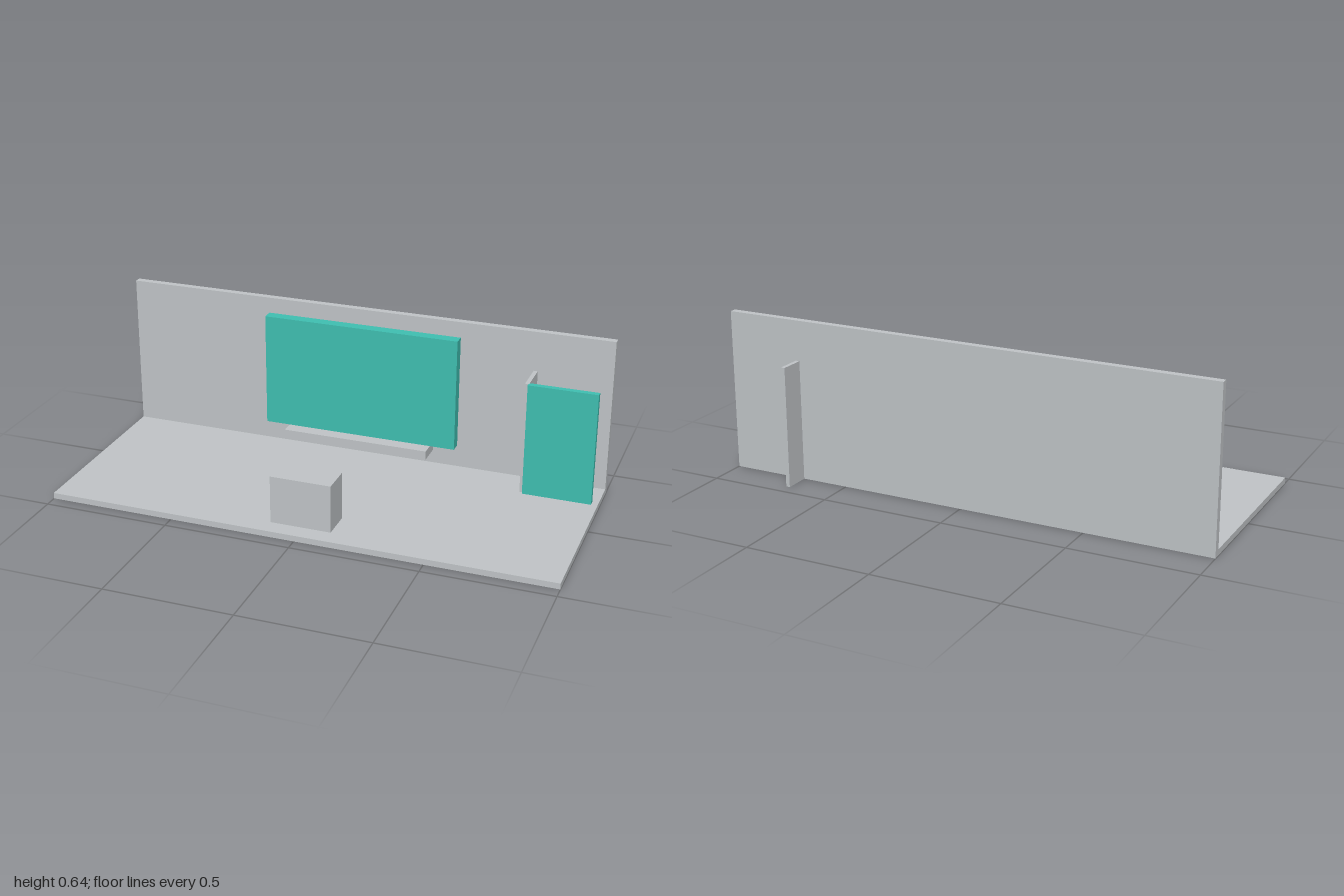
import * as THREE from 'three';

const grey = new THREE.MeshStandardMaterial({ name: 'pale grey', color: 0xc2c6c9 });
const teal = new THREE.MeshStandardMaterial({ name: 'teal', color: 0x40c1b3 });

// Box given by its extents along each axis
function block(name, material, [x0, x1], [y0, y1], [z0, z1]) {
  const mesh = new THREE.Mesh(new THREE.BoxGeometry(x1 - x0, y1 - y0, z1 - z0), material);
  mesh.position.set((x0 + x1) / 2, (y0 + y1) / 2, (z0 + z1) / 2);
  mesh.name = name;
  return mesh;
}

export function createModel() {
  const model = new THREE.Group();
  model.name = 'stage';
  model.add(
    // Floor and back wall; the floor sits a hair high so the panel foot shows beneath it
    block('floor', grey, [-1, 1], [0.0005, 0.024], [-0.35, 0.45]),
    block('backWall', grey, [-1, 1], [0.024, 0.64], [-0.35, -0.322]),
    // Screen with the shelf below it
    block('screen', teal, [-0.4, 0.4], [0.12, 0.58], [-0.312, -0.267]),
    block('shelf', grey, [-0.3, 0.3], [0.084, 0.12], [-0.312, -0.213]),
    // Counter at the front
    block('counter', grey, [-0.12, 0.12], [0.024, 0.214], [0.26, 0.38]),
    // Side booth: a fin through the back wall and a front panel
    block('sideFin', grey, [0.691, 0.707], [0, 0.48], [-0.45, -0.186]),
    block('frontPanel', teal, [0.704, 0.975], [0, 0.48], [-0.197, -0.174]),
  );
  return model;
}
